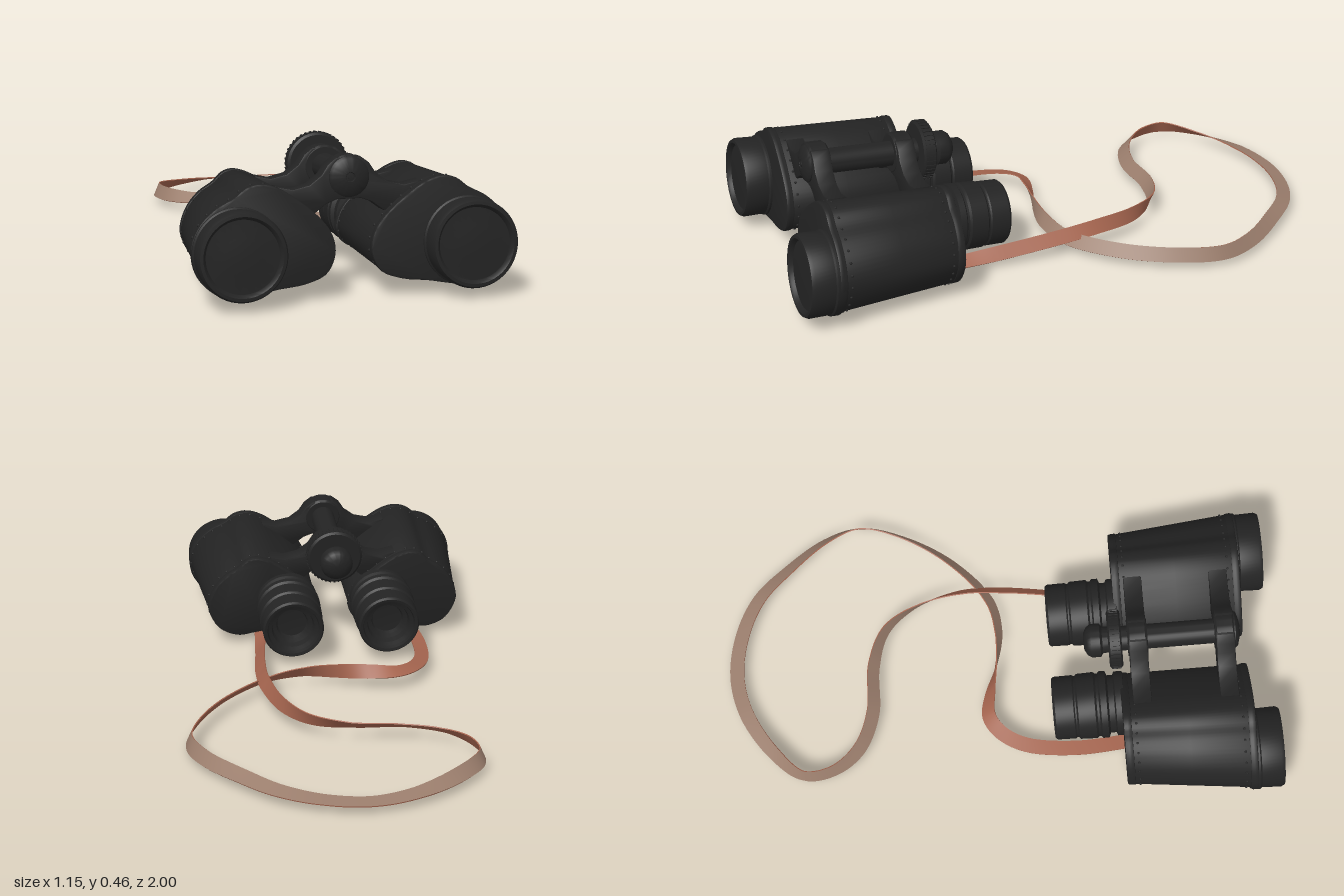
import * as THREE from 'three';
import { toCreasedNormals, mergeGeometries } from 'three/addons/utils/BufferGeometryUtils.js';

const black = new THREE.MeshStandardMaterial({ color: 0x232323 });
const leather = new THREE.MeshStandardMaterial({ color: 0xa4644e });
const suede = new THREE.MeshStandardMaterial({ color: 0x9a7d6c });
black.name = 'black'; leather.name = 'red brown leather'; suede.name = 'tan suede';

function add(parent, name, geo, mat = black) {
  const m = new THREE.Mesh(geo, mat);
  m.name = name;
  parent.add(m);
  return m;
}

// Turned part along z; profile is [radius, z] from back to front
function turned(profile, x, y, seg = 48) {
  const g = new THREE.LatheGeometry(profile.map(([r, z]) => new THREE.Vector2(r, z)), seg);
  g.rotateX(Math.PI / 2);
  // rotateX sends the lathe axis to +z
  g.translate(x, y, 0);
  return toCreasedNormals(g, 0.6);
}

// Prism housing outline, as distance from the hinge line and height
const OUTLINE = [[.525, .19], [.5, .265], [.445, .32], [.385, .352], [.345, .382], [.30, .392], [.25, .38],
  [.19, .343], [.12, .285], [.076, .23], [.062, .165], [.09, .1], [.16, .07], [.25, .058], [.32, .045],
  [.39, .036], [.475, .078]];

// Housing gets slimmer on its outer and lower sides toward the back
function taper(x, y, z) {
  const t = THREE.MathUtils.clamp((.89 - z) / .46, 0, 1);
  const a = Math.abs(x);
  return [Math.sign(x) * (a > .28 ? .28 + (a - .28) * (1 - .2 * t) : a),
    y < .2 ? .2 - (.2 - y) * (1 - .25 * t) : y];
}

function outlineCurve(s) {
  return new THREE.CatmullRomCurve3(OUTLINE.map(([x, y]) => new THREE.Vector3(s * x, y, 0)), true);
}

function housing(s, z0, z1, grow) {
  const shape = new THREE.Shape(outlineCurve(s).getPoints(72).slice(0, -1).map(p => new THREE.Vector2(p.x, p.y)));
  const b = .006;
  const g = new THREE.ExtrudeGeometry(shape, { depth: z1 - z0 - 2 * b, steps: 2, bevelEnabled: true,
    bevelThickness: b, bevelSize: b, bevelOffset: grow - b, bevelSegments: 2 });
  g.translate(0, 0, z0 + b);
  const p = g.attributes.position;
  for (let i = 0; i < p.count; i++) {
    const [x, y] = taper(p.getX(i), p.getY(i), p.getZ(i));
    p.setXY(i, x, y);
  }
  return toCreasedNormals(g, .6);
}

function rivets(s) {
  const pts = outlineCurve(s).getSpacedPoints(30);
  const parts = [];
  for (const z of [.475, .85]) for (const q of pts.slice(0, -1)) {
    const [x, y] = taper(q.x, q.y, z);
    parts.push(new THREE.SphereGeometry(.005, 6, 4).translate(x, y, z));
  }
  return mergeGeometries(parts);
}

function barrel(s) {
  const g = new THREE.Group();
  g.name = s > 0 ? 'leftBarrel' : 'rightBarrel';
  add(g, 'prismHousing', housing(s, .44, .885, 0));
  add(g, 'rearCoverPlate', housing(s, .43, .46, .004));
  add(g, 'frontCoverPlate', housing(s, .865, .893, .003));
  add(g, 'rivets', rivets(s));
  // Objective tube with a raised rim and a recessed lens
  add(g, 'objective', turned([[.05, .86], [.142, .865], [.147, .875], [.147, .9], [.142, .905], [.144, .975],
    [.138, .987], [.128, .988], [.122, .982], [.118, .972], [.112, .972], [.06, .976], [0, .978]], s * .379, .18, 64));
  // Stepped eyepiece with a hollow eyecup
  add(g, 'eyepiece', turned([[0, .255], [.055, .25], [.06, .235], [.075, .23], [.08, .205], [.094, .2], [.098, .186],
    [.108, .184], [.114, .192], [.115, .258], [.111, .263], [.111, .268], [.118, .274], [.12, .335], [.113, .342],
    [.113, .35], [.121, .356], [.121, .378], [.104, .385], [.104, .405], [.116, .41], [.116, .44], [.05, .45]],
    s * .18, .212, 56));
  // Lug under the housing that holds the strap
  const lug = add(g, 'strapLug', new THREE.TorusGeometry(.022, .006, 8, 18));
  lug.position.set(s * .27, .068, .5);
  return g;
}

// Bridge plate joining both housings to the hinge
function bridge() {
  const half = [[.04, .463], [.068, .442], [.09, .408], [.13, .378], [.185, .366], [.24, .378], [.24, .33],
    [.18, .30], [.115, .285], [.075, .315], [.04, .328]];
  const pts = [...half, ...half.slice().reverse().map(([x, y]) => [-x, y])].map(a => new THREE.Vector2(...a));
  const g = new THREE.ExtrudeGeometry(new THREE.Shape(pts), { depth: .056, bevelEnabled: true,
    bevelThickness: .005, bevelSize: .005, bevelOffset: -.005, bevelSegments: 2 });
  return toCreasedNormals(g, .7);
}

function hinge() {
  const g = new THREE.Group();
  g.name = 'centreHinge';
  const Y = .4;
  for (const [name, z] of [['rearBridge', .477], ['frontBridge', .785]]) {
    add(g, name, bridge()).position.z = z;
    add(g, name + 'Hub', turned([[0, z - .008], [.064, z - .008], [.071, z], [.071, z + .055], [.064, z + .063], [0, z + .063]], 0, Y));
  }
  add(g, 'hingeShaft', turned([[0, .43], [.044, .43], [.044, .82], [0, .82]], 0, Y, 32));
  add(g, 'frontCap', turned([[.066, .84], [.066, .85], [.058, .858], [.03, .866], [.016, .868], [.014, .864], [0, .864]], 0, Y));
  add(g, 'capScrew', turned([[.009, .86], [.009, .869], [0, .87]], 0, Y, 12));
  // Focus wheel with ridged edge, and the rounded knob behind it
  add(g, 'focusWheel', turned([[0, .4], [.096, .4], [.104, .406], [.104, .442], [.096, .448], [0, .448]], 0, Y));
  const ridges = [];
  for (let i = 0; i < 40; i++) {
    ridges.push(new THREE.BoxGeometry(.007, .006, .034).translate(0, .104, .424).rotateZ(i * Math.PI / 20));
  }
  add(g, 'wheelRidges', mergeGeometries(ridges)).position.y = Y;
  add(g, 'rearKnob', turned([[0, .312], [.03, .314], [.05, .325], [.06, .34], [.06, .372], [.048, .38], [.046, .402]], 0, Y));
  return g;
}

// Strap path: x, y, z and twist in degrees
const STRAP = [
  [-.32, .03, .55, 0], [-.345, .042, .4, 0], [-.355, .045, .25, 5], [-.335, .052, .08, 12], [-.285, .06, -.01, 15],
  [-.22, .064, -.05, 25], [-.13, .064, -.04, 50], [-.02, .06, -.012, 90], [.11, .058, .003, 122], [.24, .05, -.025, 135],
  [.40, .048, -.16, 130], [.515, .048, -.34, 118], [.56, .048, -.5, 112], [.515, .048, -.63, 130], [.40, .048, -.78, 148],
  [.295, .045, -.885, 160], [.16, .037, -.95, 168], [0, .032, -.974, 170], [-.155, .037, -.94, 165], [-.315, .045, -.84, 140],
  [-.405, .05, -.735, 112], [-.392, .05, -.625, 118], [-.315, .05, -.53, 140], [-.18, .052, -.475, 146], [0, .06, -.465, 138],
  [.135, .066, -.415, 112], [.22, .072, -.3, 78], [.265, .08, -.13, 55], [.268, .07, .03, 48], [.25, .05, .24, 50],
  [.23, .035, .4, 25], [.22, .028, .55, 0]];

// Flat strap: leather on one face, suede on the other
function strapGeometry() {
  const curve = new THREE.CatmullRomCurve3(STRAP.map(([x, y, z]) => new THREE.Vector3(x, y, z)));
  const N = 248, W = .0265, T = .002, last = STRAP.length - 1;
  const up = new THREE.Vector3(0, 1, 0), rings = [];
  for (let i = 0; i <= N; i++) {
    const t = i / N, f = t * last, k = Math.min(Math.floor(f), last - 1);
    const a = THREE.MathUtils.degToRad(THREE.MathUtils.lerp(STRAP[k][3], STRAP[k + 1][3], f - k));
    const p = curve.getPoint(t), d = curve.getTangent(t);
    const side = d.clone().cross(up).normalize();
    const w = side.clone().multiplyScalar(Math.cos(a)).addScaledVector(side.clone().cross(d), Math.sin(a));
    const n = w.clone().cross(d).normalize();
    rings.push([[1, 1], [-1, 1], [-1, -1], [1, -1]].map(([u, v]) =>
      p.clone().addScaledVector(w, u * W).addScaledVector(n, v * T)));
  }
  const pos = [], idx = [], geo = new THREE.BufferGeometry();
  for (let k = 0; k < 4; k++) {
    const base = pos.length / 3, start = idx.length;
    for (const r of rings) pos.push(...r[k].toArray(), ...r[(k + 1) % 4].toArray());
    for (let i = 0; i < N; i++) {
      const A = base + 2 * i, B = A + 1, D = A + 2, C = A + 3;
      idx.push(B, A, D, B, D, C);
    }
    geo.addGroup(start, idx.length - start, k === 2 ? 1 : 0);
  }
  geo.setAttribute('position', new THREE.Float32BufferAttribute(pos, 3));
  geo.setIndex(idx);
  geo.computeVertexNormals();
  return geo;
}

export function createModel() {
  const model = new THREE.Group();
  model.name = 'binoculars';

  // Optics rest at a slight tilt, turned about the front end
  const tilted = new THREE.Group(), body = new THREE.Group();
  tilted.name = 'tiltedBody'; body.name = 'body';
  tilted.position.set(-.052, .18, 1);
  tilted.rotation.x = -.08;
  body.position.set(0, -.18, -1);
  tilted.add(body);
  body.add(barrel(1), barrel(-1), hinge());
  model.add(tilted);

  const strap = new THREE.Group();
  strap.name = 'strap';
  add(strap, 'strapBand', strapGeometry(), [leather, suede]);
  // Folded strap ends and keepers below the lugs
  for (const [x, r] of [[-.322, .25], [.22, 0]]) {
    const end = new THREE.Group();
    end.name = 'strapEnd';
    end.position.set(x, .03, .525);
    end.rotation.z = r;
    add(end, 'foldedTip', new THREE.BoxGeometry(.055, .042, .006), leather).position.set(0, .002, .03);
    add(end, 'foldedTail', new THREE.BoxGeometry(.053, .005, .13), leather).position.set(0, -.012, -.035);
    add(end, 'keeper', new THREE.BoxGeometry(.062, .022, .014), leather).position.set(0, -.004, -.06);
    strap.add(end);
  }
  model.add(strap);
  return model;
}
